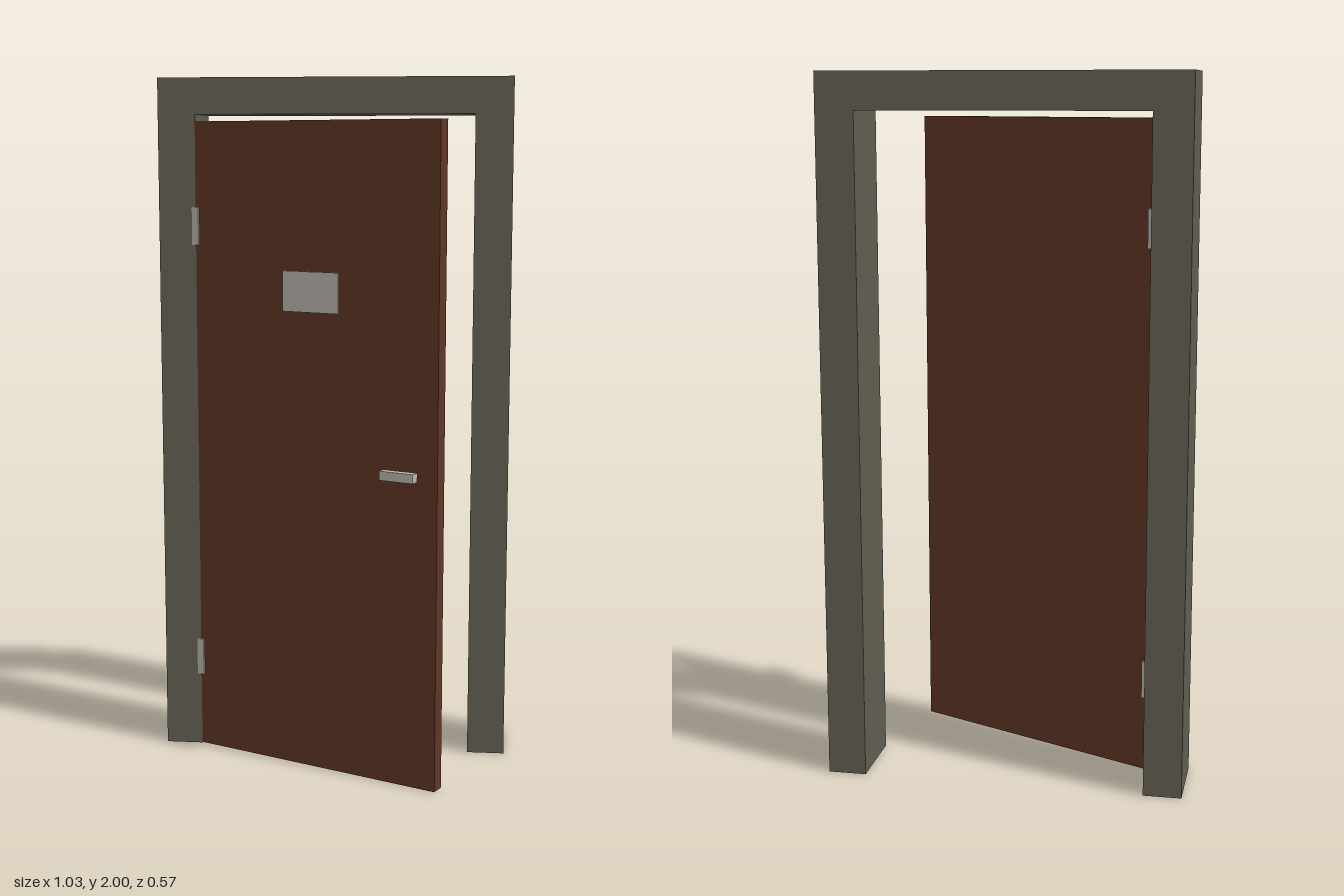
import * as THREE from 'three';

export function createModel() {
  const model = new THREE.Group();
  model.name = 'openDoor';

  const mat = (name, color) => {
    const m = new THREE.MeshStandardMaterial({ color });
    m.name = name;
    return m;
  };
  const stone = mat('frame grey', 0x605c51);
  const wood = mat('door brown', 0x5f3624);
  const metal = mat('pale metal', 0xbcb8b0);

  // Frame: upside-down U extruded along z
  const W = 0.513, inner = 0.404, H = 2, lintel = 1.895, back = -0.289, front = -0.066;
  const outline = new THREE.Shape([
    [-W, 0], [-inner, 0], [-inner, lintel], [inner, lintel],
    [inner, 0], [W, 0], [W, H], [-W, H],
  ].map(([x, y]) => new THREE.Vector2(x, y)));
  const frame = new THREE.Mesh(
    new THREE.ExtrudeGeometry(outline, { depth: front - back, bevelEnabled: false }), stone);
  frame.name = 'frame';
  frame.position.z = back;
  model.add(frame);

  // Door leaf, pivoting on its front hinge edge; local z = 0 is the leaf's front face
  const door = new THREE.Group();
  door.name = 'door';
  door.position.set(-0.405, 0, -0.066);
  door.rotation.y = -THREE.MathUtils.degToRad(25);
  model.add(door);

  const box = (name, material, w, h, d, x, y, z) => {
    const m = new THREE.Mesh(new THREE.BoxGeometry(w, h, d), material);
    m.name = name;
    m.position.set(x, y, z);
    door.add(m);
  };
  const T = 0.041;
  box('leaf', wood, 0.8, 1.873, T, 0.4, 0.9385, -T / 2);
  box('signPlate', metal, 0.183, 0.115, 0.004, 0.393, 1.398, 0.002);

  // Lever handle on a short neck
  box('handle', metal, 0.106, 0.026, 0.027, 0.691, 0.903, 0.026);
  box('handleNeck', metal, 0.012, 0.012, 0.014, 0.73, 0.903, 0.006);

  // Hinges wrapping the leaf's edge
  for (const y of [0.275, 1.575]) box('hinge', metal, 0.03, 0.11, T + 0.01, -0.003, y, -T / 2);

  return model;
}
